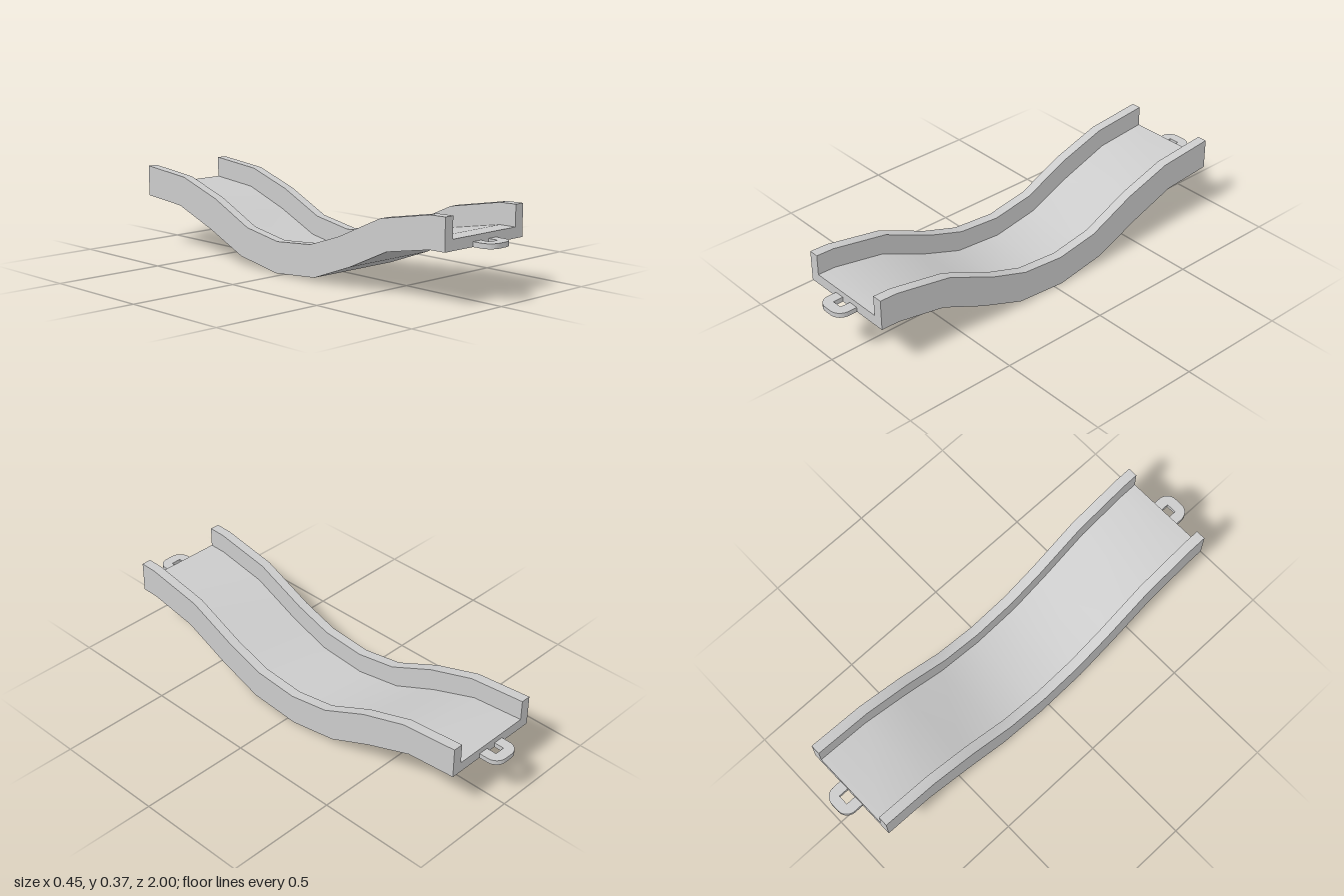
import * as THREE from 'three';
import { toCreasedNormals } from 'three/addons/utils/BufferGeometryUtils.js';

const HALF_W = 0.227, INNER_W = 0.183, FLOOR = 0.335;

// Stations from front to back: [bottom z, bottom y, top z, top y]
const STATIONS = [
  [0.91, 0.229, 0.91, 0.365],
  [0.83, 0.228, 0.83, 0.363],
  [0.605, 0.187, 0.57, 0.315],
  [0.4, 0.094, 0.335, 0.209],
  [0.194, 0.018, 0.167, 0.153],
  [-0.04, 0, -0.032, 0.137],
  [-0.266, 0.04, -0.223, 0.17],
  [-0.465, 0.128, -0.437, 0.27],
  [-0.684, 0.209, -0.652, 0.34],
  [-0.91, 0.229, -0.91, 0.365],
];

// U-shaped cross-section: [x, height fraction]
const OUTLINE = [
  [-HALF_W, 0], [HALF_W, 0], [HALF_W, 1], [INNER_W, 1],
  [INNER_W, FLOOR], [-INNER_W, FLOOR], [-INNER_W, 1], [-HALF_W, 1],
];

function troughGeometry() {
  const positions = [], index = [], n = OUTLINE.length;
  for (const [bz, by, tz, ty] of STATIONS) {
    for (const [x, f] of OUTLINE) positions.push(x, by + (ty - by) * f, bz + (tz - bz) * f);
  }
  for (let i = 0; i < STATIONS.length - 1; i++) {
    for (let j = 0; j < n; j++) {
      const a = i * n + j, b = i * n + (j + 1) % n, c = b + n, d = a + n;
      index.push(a, d, c, a, c, b);
    }
  }
  // End caps
  const last = (STATIONS.length - 1) * n;
  const cap = THREE.ShapeUtils.triangulateShape(OUTLINE.map(([x, y]) => new THREE.Vector2(x, y)), []);
  for (const [a, b, c] of cap) index.push(a, b, c, last + a, last + c, last + b);
  const geometry = new THREE.BufferGeometry();
  geometry.setAttribute('position', new THREE.Float32BufferAttribute(positions, 3));
  geometry.setIndex(index);
  return toCreasedNormals(geometry, 0.65);
}

// Flat U-shaped loop with rounded outer corners, open towards the trough
function loopGeometry() {
  const w = 0.068, len = 0.092, r = 0.05, hole = 0.023, depth = 0.047;
  const s = new THREE.Shape();
  s.moveTo(hole, 0);
  s.lineTo(w, 0);
  s.lineTo(w, len - r);
  s.absarc(w - r, len - r, r, 0, Math.PI / 2, false);
  s.lineTo(r - w, len);
  s.absarc(r - w, len - r, r, Math.PI / 2, Math.PI, false);
  s.lineTo(-w, 0);
  s.lineTo(-hole, 0);
  s.lineTo(-hole, depth);
  s.lineTo(hole, depth);
  s.closePath();
  const g = new THREE.ExtrudeGeometry(s, { depth: 0.021, bevelEnabled: false, curveSegments: 8 });
  g.rotateX(Math.PI / 2); // shape length now runs along +z
  return toCreasedNormals(g, 0.65);
}

export function createModel() {
  const group = new THREE.Group();
  group.name = 'trackSection';
  const material = new THREE.MeshStandardMaterial({ color: 0xcccccc });

  const trough = new THREE.Mesh(troughGeometry(), material);
  trough.name = 'trough';
  group.add(trough);

  // Connector loop at each end
  const loop = loopGeometry();
  for (const side of [1, -1]) {
    const mesh = new THREE.Mesh(loop, material);
    mesh.name = side > 0 ? 'frontConnector' : 'backConnector';
    mesh.position.set(0, 0.25, side * 0.908);
    if (side < 0) mesh.rotation.y = Math.PI;
    group.add(mesh);
  }
  return group;
}
